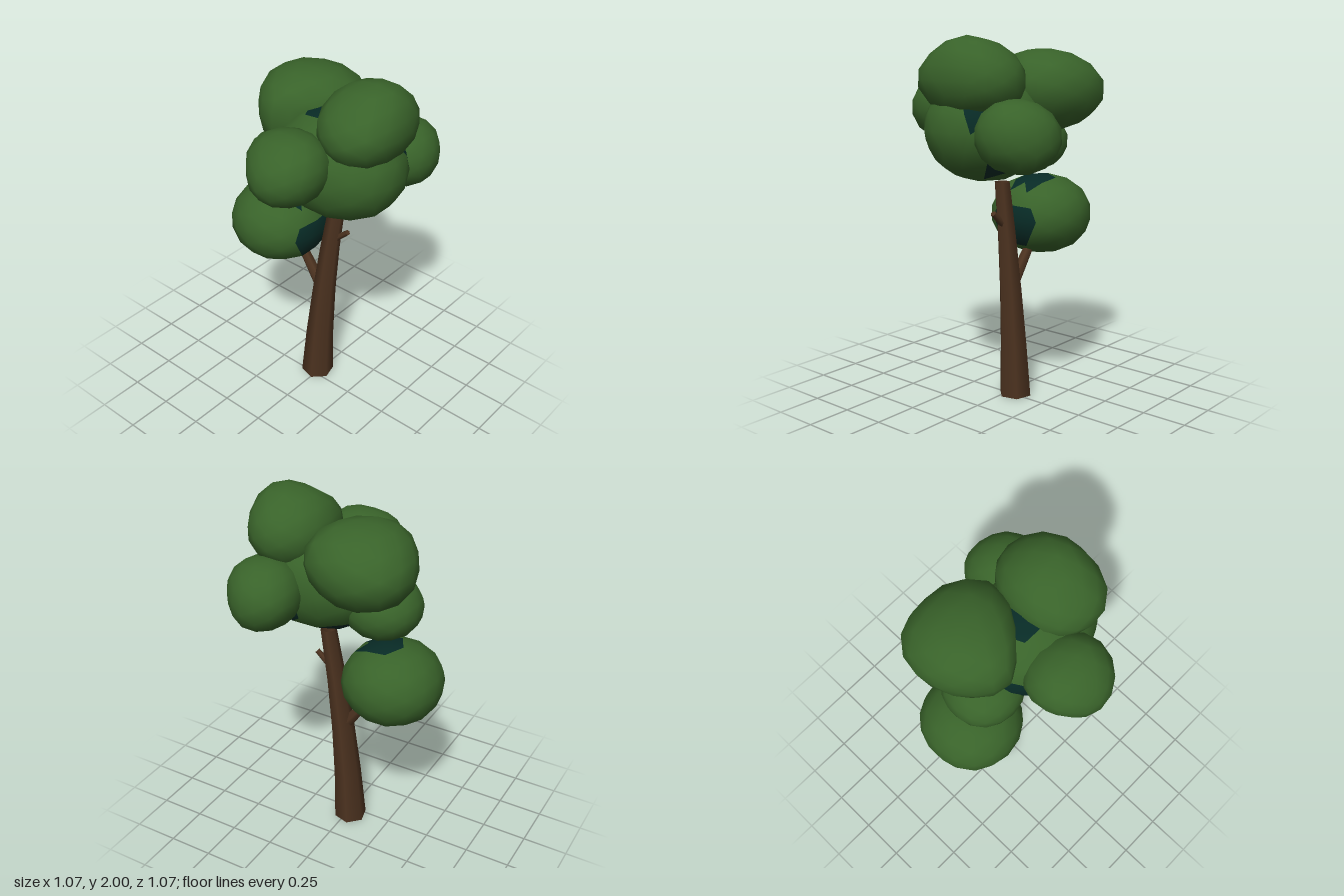
import * as THREE from 'three';
import { mergeVertices } from 'three/addons/utils/BufferGeometryUtils.js';

const material = (name, color) => Object.assign(new THREE.MeshStandardMaterial({ color }), { name });
const leafGreen = material('leaf green', 0x39632a);
const deepShade = material('deep leaf teal', 0x082b26);
const bark = material('bark brown', 0x4d3320);
bark.side = THREE.DoubleSide;
const vec = (a) => new THREE.Vector3(...a);

// A slightly boxy leaf clump. Each pull [x, y, z, amount] bulges or dents it
// towards a direction; faces near a spot [x, y, z, reach] take the deep colour.
function leafClump({ name, centre, radii, pulls = [], spots = [] }) {
  let geo = new THREE.IcosahedronGeometry(1, 2);
  geo.deleteAttribute('normal');
  geo.deleteAttribute('uv');
  geo = mergeVertices(geo, 1e-4);
  const pos = geo.attributes.position;
  const power = 2.12;
  const v = new THREE.Vector3();
  for (let i = 0; i < pos.count; i++) {
    v.fromBufferAttribute(pos, i).normalize();
    const box = v.toArray().reduce((sum, c) => sum + Math.abs(c) ** power, 0) ** (1 / power);
    let bulge = 1;
    for (const [x, y, z, amount] of pulls) {
      bulge += amount * Math.max(0, v.dot(vec([x, y, z]).normalize())) ** 5;
    }
    v.multiplyScalar(bulge / box).multiply(vec(radii)).add(vec(centre));
    pos.setXYZ(i, v.x, v.y, v.z);
  }
  geo.computeVertexNormals();

  // Sort the faces into the two colours
  const faces = [[], []];
  const index = geo.index.array;
  for (let f = 0; f < index.length; f += 3) {
    const corners = [index[f], index[f + 1], index[f + 2]];
    const middle = new THREE.Vector3();
    for (const c of corners) middle.addScaledVector(v.fromBufferAttribute(pos, c), 1 / 3);
    const deep = spots.some(([x, y, z, reach]) => middle.distanceTo(vec([x, y, z])) < reach);
    faces[deep ? 1 : 0].push(...corners);
  }
  geo.setIndex(faces.flat());
  geo.addGroup(0, faces[0].length, 0);
  geo.addGroup(faces[0].length, faces[1].length, 1);
  const mesh = new THREE.Mesh(geo, [leafGreen, deepShade]);
  mesh.name = name;
  return mesh;
}

// Trunk: an open six-sided tube that tapers and curves as it rises
function trunk() {
  const height = 1.23;
  const geo = new THREE.CylinderGeometry(1, 1, height, 6, 4, true);
  geo.rotateY(0.26).translate(0, height / 2, 0);
  const pos = geo.attributes.position;
  for (let i = 0; i < pos.count; i++) {
    const t = pos.getY(i) / height;
    const r = 0.093 - 0.062 * t + 0.013 * t * t;
    pos.setX(i, -0.02 + 0.05 * t + 0.077 * t * t + r * pos.getX(i));
    pos.setZ(i, -0.045 - 0.013 * t * t + r * pos.getZ(i));
  }
  const mesh = new THREE.Mesh(geo, bark);
  mesh.name = 'trunk';
  return mesh;
}

// Straight tapered branch between two points
function branch(name, from, to, radius) {
  const dir = vec(to).sub(vec(from));
  const mesh = new THREE.Mesh(new THREE.CylinderGeometry(radius * 0.75, radius, dir.length(), 6), bark);
  mesh.position.copy(vec(from)).addScaledVector(dir, 0.5);
  mesh.quaternion.setFromUnitVectors(new THREE.Vector3(0, 1, 0), dir.normalize());
  mesh.name = name;
  return mesh;
}

const clumps = [
  {
    name: 'middleClump', centre: [0.16, 1.525, -0.01], radii: [0.365, 0.285, 0.295],
    spots: [[-0.13, 1.42, 0.13, 0.16], [0.05, 1.25, -0.05, 0.17], [0.3, 1.38, -0.24, 0.12],
      [0.06, 1.77, -0.02, 0.12], [0.41, 1.65, -0.17, 0.09]],
  },
  {
    name: 'upperRightClump', centre: [-0.155, 1.7, -0.12], radii: [0.28, 0.22, 0.3],
    pulls: [[1, 0, 1, -0.28], [-1, 0, 1, -0.14], [-1, 0, -1, 0.12], [1, 0.6, -0.6, 0.12]],
  },
  {
    name: 'upperLeftClump', centre: [0.305, 1.78, -0.04], radii: [0.225, 0.205, 0.285],
    pulls: [[0.5, 1, 0, 0.14], [0, 1, 1, -0.15], [0, 1, -1, -0.08], [0.8, 0, 1, 0.1]],
  },
  {
    name: 'frontClump', centre: [0.08, 1.6, 0.315], radii: [0.22, 0.185, 0.225],
    pulls: [[-1, 0, 1, -0.14], [1, 1, 0, 0.1], [-1, -1, 0, -0.16], [0, 1, 1, -0.14]],
  },
  {
    name: 'backClump', centre: [0.32, 1.515, -0.33], radii: [0.2, 0.185, 0.21],
    pulls: [[0, -1, -1, 0.07], [0, 1, -1, -0.06], [1, 0, -1, -0.1], [-1, 0, -1, 0.08]],
  },
  {
    name: 'sideClump', centre: [-0.19, 1.415, 0], radii: [0.21, 0.165, 0.21],
    spots: [[-0.2, 1.26, 0.02, 0.11]],
  },
  {
    name: 'lowClump', centre: [-0.27, 1, -0.025], radii: [0.272, 0.222, 0.278],
    spots: [[-0.01, 0.97, -0.03, 0.14], [-0.19, 1.21, -0.03, 0.1]],
  },
];

export function createModel() {
  const tree = new THREE.Group();
  tree.name = 'tree';
  tree.add(
    trunk(),
    branch('lowerBranch', [0, 0.65, -0.045], [-0.135, 0.84, -0.05], 0.036),
    branch('twig', [0.08, 0.98, -0.055], [0.18, 1.07, -0.057], 0.02),
  );
  const foliage = new THREE.Group();
  foliage.name = 'foliage';
  foliage.add(...clumps.map(leafClump));
  tree.add(foliage);
  return tree;
}
